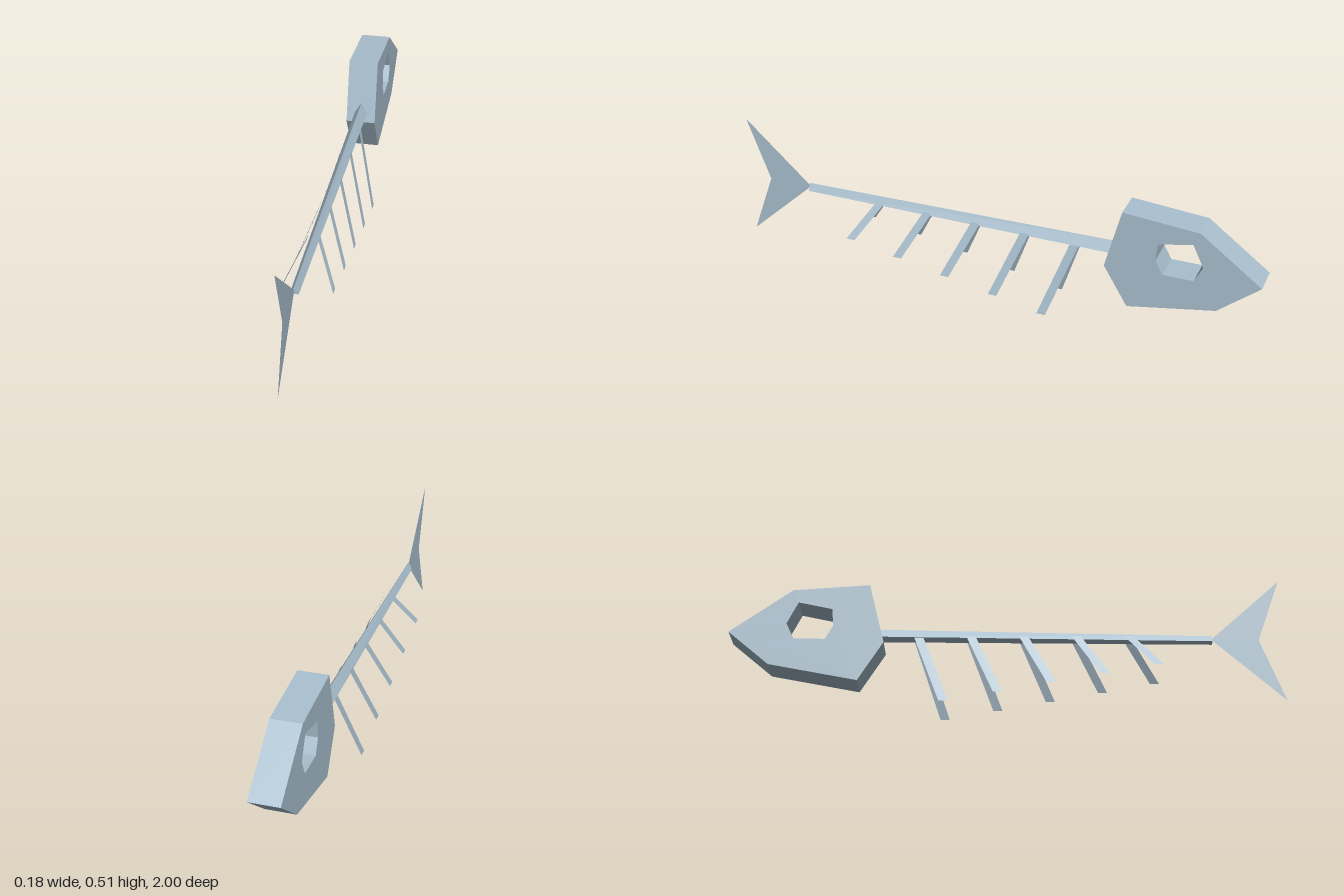
import * as THREE from 'three';

const bone = new THREE.MeshStandardMaterial({ color: 0xa9bfce });
bone.name = 'paleBone';
bone.flatShading = true;
bone.side = THREE.DoubleSide;

const toVec = ([a, b]) => new THREE.Vector2(a, b);

function addMesh(parent, name, geometry) {
  const mesh = new THREE.Mesh(geometry, bone);
  mesh.name = name;
  parent.add(mesh);
  return mesh;
}

// Side profiles are drawn as (z, y), then turned into the model's long plane
const toSide = (geometry) => geometry.rotateY(-Math.PI / 2);

// Geometry from a list of triangles, each three points
function fromTriangles(points) {
  const g = new THREE.BufferGeometry();
  g.setAttribute('position', new THREE.Float32BufferAttribute(points.flat(), 3));
  g.computeVertexNormals();
  return g;
}

// Tapering triangular bar, closed at both ends
function spineGeometry() {
  const section = (z, top, base, half) => [[0, top, z], [-half, base, z], [half, base, z]];
  const f = section(0.745, 0.289, 0.262, 0.015);
  const b = section(-0.465, 0.318, 0.279, 0.024);
  const tris = [f[0], f[1], f[2], b[0], b[2], b[1]];
  for (let i = 0; i < 3; i++) {
    const j = (i + 1) % 3;
    tris.push(f[i], b[i], b[j], f[i], b[j], f[j]);
  }
  return fromTriangles(tris);
}

// Flat slat running outward, down and toward the tail
function ribGeometry(side, z, tipY) {
  const w = 0.0165, sweep = 0.097;
  const rootX = side * 0.02, tipX = side * 0.09, rootY = 0.281;
  const a = [rootX, rootY, z + w], b = [rootX, rootY, z - w];
  const c = [tipX, tipY, z + sweep - w], d = [tipX, tipY, z + sweep + w];
  return fromTriangles(side > 0 ? [a, d, c, a, c, b] : [a, c, d, a, b, c]);
}

export function createModel() {
  const model = new THREE.Group();
  model.name = 'fishSkeleton';

  // Head slab with an open eye socket
  const head = new THREE.Shape([
    [-0.44, 0.243], [-0.53, 0.094], [-0.85, 0.157],
    [-1, 0.285], [-0.775, 0.452], [-0.497, 0.472],
  ].map(toVec));
  head.holes.push(new THREE.Path([
    [-0.63, 0.375], [-0.753, 0.402], [-0.793, 0.318],
    [-0.764, 0.258], [-0.652, 0.256], [-0.624, 0.308],
  ].map(toVec)));
  const headGeometry = new THREE.ExtrudeGeometry(head, { depth: 0.11, bevelEnabled: false });
  addMesh(model, 'head', toSide(headGeometry.translate(0, 0, -0.055)));

  addMesh(model, 'spine', spineGeometry());

  // Forked tail fin
  const tail = new THREE.Shape([
    [0.742, 0.275], [1, 0.036], [0.914, 0.272], [1, 0.51],
  ].map(toVec));
  addMesh(model, 'tailFin', toSide(new THREE.ShapeGeometry(tail)));

  // Five mirrored rib pairs, longer toward the head
  const ribs = new THREE.Group();
  ribs.name = 'ribs';
  for (let i = 0; i < 5; i++) {
    const z = 0.442 - i * 0.19, tipY = 0.139 - i * 0.03475;
    addMesh(ribs, 'leftRib', ribGeometry(1, z, tipY));
    addMesh(ribs, 'rightRib', ribGeometry(-1, z, tipY));
  }
  model.add(ribs);

  return model;
}
